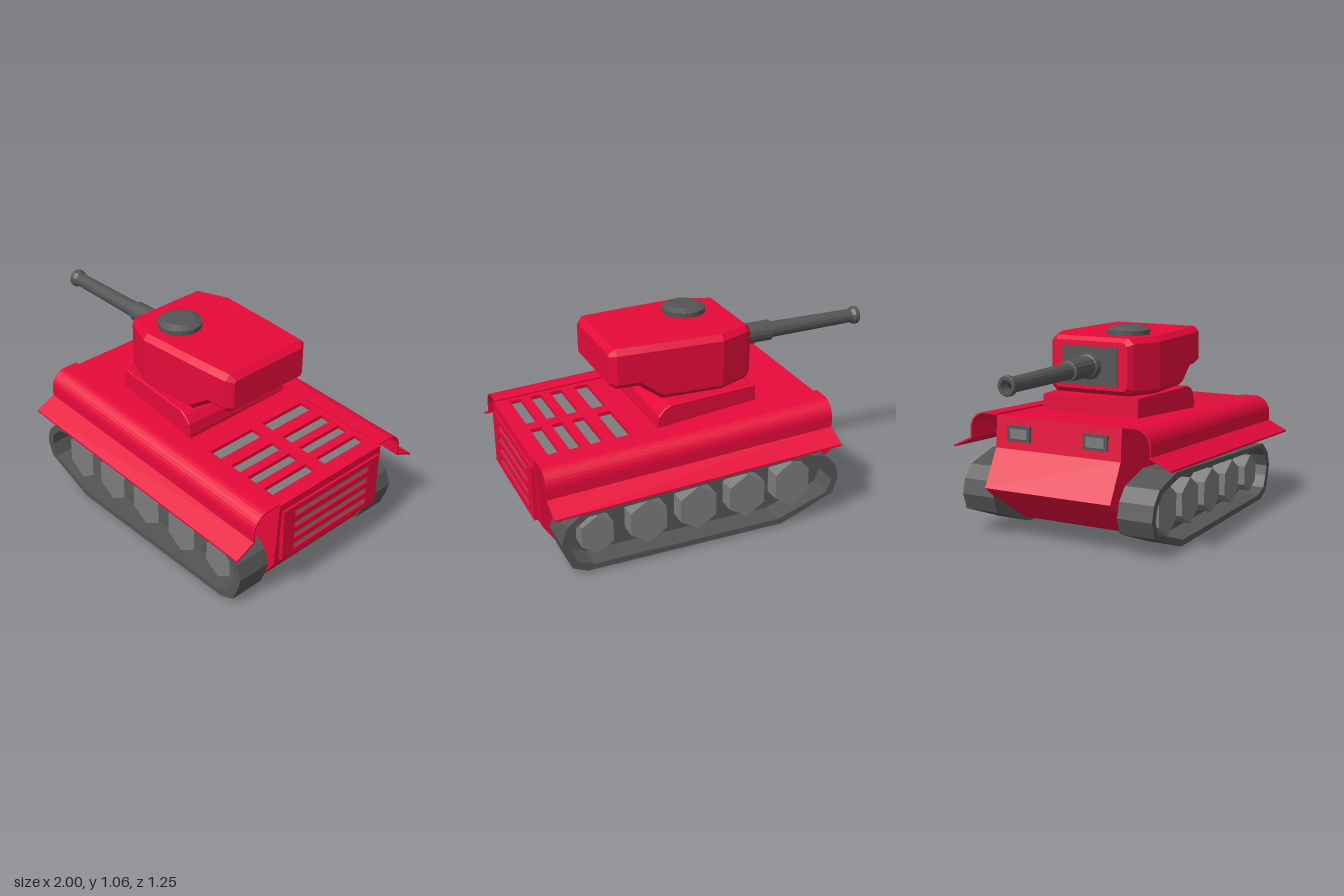
import * as THREE from 'three';

const mat = (color) => new THREE.MeshStandardMaterial({ color, flatShading: true });
const RED = mat(0xe60a3a), DARK = mat(0x555555), GREY = mat(0x7c7c7c), BLACK = mat(0x222222);

// The deck and fenders drop towards the rear (+x): y is sheared by x
const SLOPE = 0.0455;
const shear = new THREE.Matrix4().set(1, 0, 0, 0, -SLOPE, 1, 0, 0.98 * SLOPE, 0, 0, 1, 0, 0, 0, 0, 1);
// The turret base leans slightly: y is sheared by z
const lean = new THREE.Matrix4().set(1, 0, 0, 0, 0, 1, 0.03, 0, 0, 0, 1, 0, 0, 0, 0, 1);

const toPoints = (list) => list.map(([x, y]) => new THREE.Vector2(x, y));
const toShape = (list) => new THREE.Shape(toPoints(list));
const extrude = (shape, depth) => new THREE.ExtrudeGeometry(shape, { depth, bevelEnabled: false });

function add(parent, name, geometry, material, x = 0, y = 0, z = 0) {
  const mesh = new THREE.Mesh(geometry, material);
  mesh.name = name;
  mesh.position.set(x, y, z);
  parent.add(mesh);
}
const box = (parent, name, material, w, h, d, x, y, z) =>
  add(parent, name, new THREE.BoxGeometry(w, h, d), material, x, y, z);

// Rectangular plate with rectangular holes; rectangles are [x0, y0, x1, y1]
function slotted(outer, holes, depth) {
  const corners = ([a, b, c, d]) => [[a, b], [c, b], [c, d], [a, d]];
  const shape = toShape(corners(outer));
  for (const h of holes) shape.holes.push(new THREE.Path(toPoints(corners(h))));
  return extrude(shape, depth);
}

// Loft of chamfered rectangles along x; station: [x, halfWidth, yBottom, yTop, chamfer]
function loft(stations) {
  const rings = stations.map(([x, w, b, t, c]) =>
    [[b, w - c], [b + c, w], [t - c, w], [t, w - c], [t, c - w], [t - c, -w], [b + c, -w], [b, c - w]]
      .map(([y, z]) => [x, y, z]));
  const pos = [];
  const tri = (...p) => p.forEach((v) => pos.push(...v));
  for (let i = 0; i + 1 < rings.length; i++) {
    for (let j = 0; j < 8; j++) {
      const a = rings[i][j], b = rings[i][(j + 1) % 8], c = rings[i + 1][(j + 1) % 8], d = rings[i + 1][j];
      tri(a, d, c);
      tri(a, c, b);
    }
  }
  const first = rings[0], last = rings[rings.length - 1];
  for (let j = 1; j < 7; j++) {
    tri(first[0], first[j], first[j + 1]);
    tri(last[0], last[j + 1], last[j]);
  }
  const g = new THREE.BufferGeometry();
  g.setAttribute('position', new THREE.Float32BufferAttribute(pos, 3));
  g.computeVertexNormals();
  return g;
}

function makeTrack() {
  const track = new THREE.Group();
  const outline = [[-0.27, 0], [0.8, 0], [0.88, 0.035], [0.912, 0.115], [0.928, 0.18], [0.9, 0.26],
    [0.82, 0.325], [-0.33, 0.395], [-0.52, 0.345], [-0.58, 0.28], [-0.6, 0.2], [-0.57, 0.115]];
  // Belt: the outline with a slightly smaller hole, closed by a recessed plate
  const inner = outline.map(([x, y]) => [0.165 + (x - 0.165) * 0.95, 0.19 + (y - 0.19) * 0.84]);
  const belt = toShape(outline);
  belt.holes.push(new THREE.Path(toPoints(inner)));
  add(track, 'trackBelt', extrude(belt, 0.19), DARK);
  add(track, 'trackPlate', extrude(toShape(inner), 0.06), DARK);
  // Hexagonal wheels: x, y, half width, half height
  const wheels = [[-0.348, 0.2, 0.096, 0.135], [-0.086, 0.19, 0.098, 0.122], [0.188, 0.185, 0.098, 0.122],
    [0.46, 0.175, 0.096, 0.122], [0.73, 0.165, 0.083, 0.106]];
  for (const [x, y, w, h] of wheels) {
    const hex = toShape([[0, -h], [w, -h / 2], [w, h / 2], [0, h], [-w, h / 2], [-w, -h / 2]]);
    add(track, 'wheel', extrude(hex, 0.1), GREY, x, y, 0.05);
  }
  return track;
}

// Thin arched fender with a splayed flap; s is the side along z
function makeFender(s) {
  const fender = new THREE.Group();
  const sweep = (list) => extrude(toShape(list.map(([z, y]) => [-s * z, y])), 1.54)
    .rotateY(Math.PI / 2).translate(-0.56, 0, 0).applyMatrix4(shear);
  const arc = (r) => Array.from({ length: 9 }, (_, i) => {
    const a = (i / 8) * Math.PI / 2;
    return [0.43 + r * Math.sin(a), 0.485 + r * Math.cos(a)];
  });
  const outer = [[0.355, 0.575], ...arc(0.09), [0.52, 0.432]];
  const under = [[0.355, 0.567], ...arc(0.082), [0.512, 0.432]];
  add(fender, 'fenderArch', sweep([...outer, ...under.reverse()]), RED);
  add(fender, 'fenderFlap', sweep([[0.512, 0.441], [0.627, 0.386], [0.627, 0.376], [0.512, 0.431]]), RED);
  return fender;
}

function makeHull() {
  const hull = new THREE.Group();
  // Side profile, stepped down at the rear to receive the engine deck
  const side = [[-0.3, 0.04], [0.86, 0.04], [0.965, 0.2], [0.985, 0.54], [0.43, 0.565], [0.43, 0.592],
    [-0.55, 0.636], [-0.565, 0.47], [-0.67, 0.28], [-0.6, 0.225]];
  add(hull, 'hullBody', extrude(toShape(side), 0.72), RED, 0, 0, -0.36);

  // Engine deck: a slotted frame flush with the deck, over grey plates
  const slots = [[0.475, 0.55], [0.62, 0.685], [0.735, 0.795], [0.845, 0.905]];
  const holes = [-0.18, 0.18].flatMap((z) => slots.map(([a, b]) => [a, z - 0.145, b, z + 0.145]));
  const frame = slotted([0.43, -0.36, 0.985, 0.36], holes, 0.03).rotateX(-Math.PI / 2).applyMatrix4(shear);
  add(hull, 'engineDeckFrame', frame, RED, 0, 0.537, 0);
  const plate = new THREE.BoxGeometry(0.46, 0.01, 0.66).translate(0.69, 0, 0).applyMatrix4(shear);
  add(hull, 'engineDeckGrille', plate, GREY, 0, 0.542, 0);

  // Rear panel with four horizontal slots
  const rear = new THREE.Group();
  rear.name = 'rearPanel';
  const vents = [0.28, 0.345, 0.41, 0.478].map((y) => [-0.263, y - 0.397, 0.263, y - 0.363]);
  add(rear, 'rearFrame', slotted([-0.34, -0.148, 0.34, 0.147], vents, 0.022), RED);
  box(rear, 'rearGrille', GREY, 0.56, 0.25, 0.01, 0, 0, 0.006);
  rear.rotation.y = Math.PI / 2;
  rear.position.set(0.976, 0.38, 0);
  hull.add(rear);

  // Headlights in square housings on the nose
  for (const z of [-0.22, 0.22]) {
    box(hull, 'headlightHousing', DARK, 0.025, 0.08, 0.135, -0.558, 0.553, z);
    box(hull, 'headlightLens', GREY, 0.01, 0.052, 0.1, -0.567, 0.553, z);
  }
  return hull;
}

function makeTurret() {
  const turret = new THREE.Group();
  // Base widens and rounds off towards the rear
  const base = loft([[-0.235, 0.28, 0.58, 0.715, 0.004], [0.26, 0.325, 0.57, 0.715, 0.004],
    [0.295, 0.33, 0.57, 0.7, 0.004], [0.325, 0.33, 0.57, 0.665, 0.004], [0.335, 0.33, 0.57, 0.61, 0.004]]);
  add(turret, 'turretBase', base.applyMatrix4(lean), RED);
  add(turret, 'turretBody', loft([[-0.23, 0.215, 0.75, 1.0, 0.02], [-0.205, 0.24, 0.725, 1.02, 0.028],
    [-0.04, 0.306, 0.722, 1.02, 0.028], [0.28, 0.288, 0.722, 1.02, 0.028], [0.4, 0.28, 0.81, 1.02, 0.028],
    [0.515, 0.27, 0.81, 1.02, 0.028], [0.545, 0.235, 0.83, 0.99, 0.01]]), RED);
  const hatch = toPoints([[0, 0], [0.115, 0], [0.115, 0.028], [0.08, 0.045], [0, 0.045]]);
  add(turret, 'hatch', new THREE.LatheGeometry(hatch, 20), DARK, 0.003, 1.017, 0.1);

  // Gun: mantlet plate and a turned barrel with flared open muzzle, pointing to -x
  box(turret, 'mantlet', DARK, 0.03, 0.2, 0.32, -0.221, 0.872, 0);
  const barrel = toPoints([[0, 0.22], [0.07, 0.22], [0.07, 0.245], [0.062, 0.265], [0.055, 0.268], [0.055, 0.455],
    [0.043, 0.458], [0.037, 0.958], [0.049, 0.975], [0.049, 0.995], [0.045, 1], [0.029, 1], [0.029, 0.93]]);
  add(turret, 'gunBarrel', new THREE.LatheGeometry(barrel, 16).rotateZ(Math.PI / 2), DARK, 0, 0.872, 0);
  const bore = new THREE.CircleGeometry(0.03, 16).rotateY(-Math.PI / 2);
  add(turret, 'gunBore', bore, BLACK, -0.935, 0.872, 0);
  return turret;
}

export function createModel() {
  const model = new THREE.Group();
  model.name = 'tank';
  const put = (name, part) => {
    part.name = name;
    model.add(part);
    return part;
  };
  put('hull', makeHull());
  put('turret', makeTurret());
  for (const s of [-1, 1]) {
    put('fender', makeFender(s));
    // The far track is mirrored and sits a touch higher
    const track = put('track', makeTrack());
    track.scale.z = s;
    track.position.set(0, s < 0 ? 0.012 : 0, s * 0.358);
  }
  return model;
}
